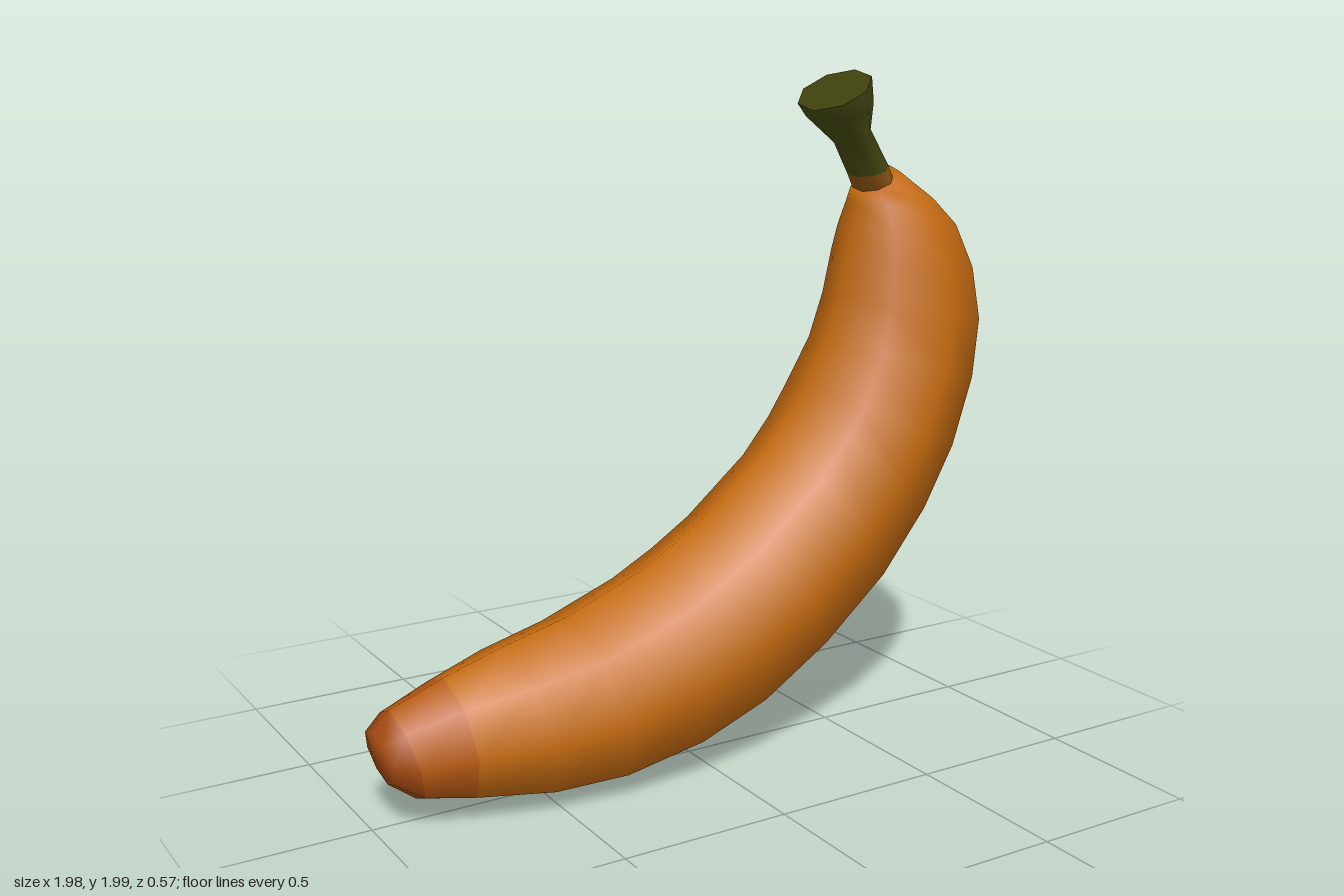
import * as THREE from 'three';

const SIDES = 8;

// Each ring: [outer x, outer y, inner x, inner y, half depth in z].
// A ring of half depth 0 is a single pole point.
function loft(rings) {
  const pos = [], index = [];
  for (const [ox, oy, ix, iy, w] of rings) {
    const cx = (ox + ix) / 2, cy = (oy + iy) / 2;
    for (let j = 0; j < SIDES; j++) {
      const a = (j / SIDES) * Math.PI * 2;
      pos.push(cx + (ox - cx) * Math.cos(a), cy + (oy - cy) * Math.cos(a), w * Math.sin(a));
    }
  }
  const id = (i, j) => i * SIDES + (rings[i][4] === 0 ? 0 : j % SIDES);
  for (let i = 0; i < rings.length - 1; i++) {
    for (let j = 0; j < SIDES; j++) {
      const a = id(i, j), b = id(i + 1, j), c = id(i + 1, j + 1), d = id(i, j + 1);
      index.push(a, b, c, a, c, d);
    }
  }
  const geo = new THREE.BufferGeometry();
  geo.setAttribute('position', new THREE.Float32BufferAttribute(pos, 3));
  geo.setIndex(index);
  geo.computeVertexNormals();
  return geo;
}

// Takes the bands from one ring to another, keeping the shared smooth normals
function section(geo, from, to, name, color) {
  const part = geo.clone();
  const band = SIDES * 6;
  part.setIndex(Array.from(geo.index.array.slice(from * band, to * band)));
  const mesh = new THREE.Mesh(part, new THREE.MeshStandardMaterial({ color, roughness: 0.7 }));
  mesh.name = name;
  return mesh;
}

export function createModel() {
  const group = new THREE.Group();
  group.name = 'banana';

  // Curved fruit, from the blossom tip to the shoulder under the stem
  const body = loft([
    [-0.99, 0.23, -0.99, 0.23, 0],
    [-0.95, 0.13, -0.99, 0.29, 0.09],
    [-0.87, 0.07, -0.94, 0.34, 0.13],
    [-0.74, 0.04, -0.78, 0.40, 0.18],
    [-0.52, 0.01, -0.60, 0.455, 0.245],
    [-0.30, 0.01, -0.40, 0.505, 0.275],
    [-0.06, 0.05, -0.16, 0.60, 0.285],
    [0.17, 0.135, -0.04, 0.67, 0.285],
    [0.40, 0.28, 0.07, 0.74, 0.285],
    [0.61, 0.46, 0.27, 0.905, 0.285],
    [0.77, 0.66, 0.35, 1.00, 0.285],
    [0.88, 0.86, 0.40, 1.07, 0.285],
    [0.96, 1.07, 0.48, 1.21, 0.265],
    [0.99, 1.25, 0.52, 1.34, 0.245],
    [0.965, 1.41, 0.545, 1.47, 0.22],
    [0.90, 1.55, 0.565, 1.54, 0.19],
    [0.82, 1.63, 0.585, 1.61, 0.145],
    [0.70, 1.72, 0.59, 1.64, 0.095],
    [0.65, 1.67, 0.65, 1.67, 0],
  ]);
  group.add(section(body, 0, 2, 'blossomTip', 0xa84c12));
  group.add(section(body, 2, 3, 'tipBlend', 0xb85a11));
  group.add(section(body, 3, 18, 'fruit', 0xc46a10));

  // Stem with a flared end
  const top = [0.565, 2.0, 0.42, 1.885, 0.155];
  const stem = loft([
    [0.69, 1.67, 0.615, 1.62, 0.09],
    [0.66, 1.73, 0.58, 1.69, 0.088],
    [0.59, 1.84, 0.53, 1.78, 0.085],
    [0.58, 1.92, 0.445, 1.855, 0.14],
    top,
  ]);
  group.add(section(stem, 0, 1, 'stemBase', 0x8a5212));
  group.add(section(stem, 1, 4, 'stem', 0x464a12));

  // Flat cut at the end of the stem
  const cut = loft([top, [0.4925, 1.9425, 0.4925, 1.9425, 0]]);
  group.add(section(cut, 0, 1, 'stemCut', 0x40420f));

  return group;
}
